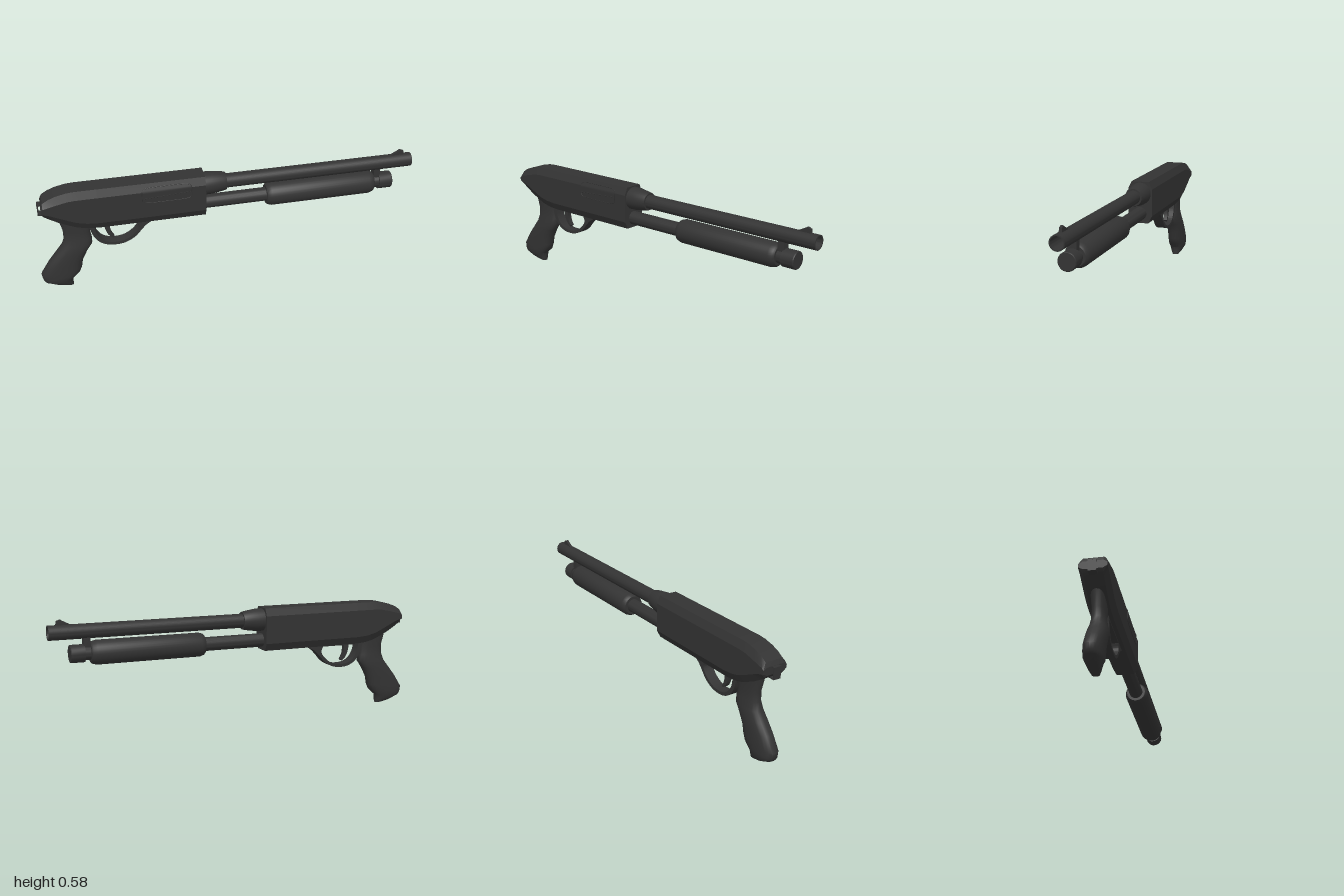
import * as THREE from 'three';
import { toCreasedNormals } from 'three/addons/utils/BufferGeometryUtils.js';

const V = (x, y, z) => new THREE.Vector3(x, y, z);

// Skin a row of equal-length rings (counterclockwise about the travel direction) and cap both ends.
function loft(rings, crease) {
  const n = rings[0].length, pos = [];
  const tri = (...p) => p.forEach((v) => pos.push(v.x, v.y, v.z));
  for (let i = 0; i < rings.length - 1; i++) {
    for (let j = 0; j < n; j++) {
      const k = (j + 1) % n, a = rings[i], b = rings[i + 1];
      tri(a[j], a[k], b[k]);
      tri(a[j], b[k], b[j]);
    }
  }
  const cap = (ring, flip) => {
    const c = ring.reduce((s, v) => s.add(v), V(0, 0, 0)).divideScalar(n);
    ring.forEach((v, j) => {
      const w = ring[(j + 1) % n];
      flip ? tri(c, w, v) : tri(c, v, w);
    });
  };
  cap(rings[0], true);
  cap(rings[rings.length - 1], false);
  const g = new THREE.BufferGeometry();
  g.setAttribute('position', new THREE.Float32BufferAttribute(pos, 3));
  return toCreasedNormals(g, crease);
}

// Turned part along x: profile of [x, radius] at height y.
function turned(profile, y) {
  const g = new THREE.LatheGeometry(profile.map(([x, r]) => new THREE.Vector2(r, x)), 32);
  g.rotateZ(-Math.PI / 2).translate(0, y, 0);
  return toCreasedNormals(g, 0.6);
}

// Side outline extruded symmetrically about z = 0.
function slab(shape, width) {
  const g = new THREE.ExtrudeGeometry(shape, { depth: width, bevelEnabled: false, curveSegments: 8 });
  return toCreasedNormals(g.translate(0, 0, -width / 2), 0.6);
}

const outline = (pts) => pts.map(([x, y]) => new THREE.Vector2(x, y));

export function createModel() {
  const group = new THREE.Group();
  const metal = new THREE.MeshStandardMaterial({ color: 0x333333 });
  metal.name = 'blackMetal';
  const add = (name, geometry) => {
    const m = new THREE.Mesh(geometry, metal);
    m.name = name;
    group.add(m);
    return m;
  };
  const box = (name, w, h, d, x, y) => add(name, new THREE.BoxGeometry(w, h, d).translate(x, y, 0));

  // Receiver: chamfered section, rounded off towards the back. [x, bottom, top]
  const receiver = [
    [-0.96, 0.475, 0.515], [-0.95, 0.46, 0.537], [-0.92, 0.44, 0.556], [-0.88, 0.416, 0.571],
    [-0.83, 0.392, 0.582], [-0.79, 0.375, 0.585], [-0.74, 0.363, 0.585], [-0.68, 0.358, 0.585], [-0.13, 0.358, 0.585],
  ].map(([x, b, t]) => {
    const c = Math.min(0.04, (t - b) * 0.3);
    const half = [[t, -0.048], [t, 0.048], [t - c, 0.067], [b + c, 0.067]];
    return [...half, [b, 0.046], [b, -0.046], [b + c, -0.067], [t - c, -0.067]].map(([y, z]) => V(x, y, z));
  });
  add('receiver', loft(receiver, 0.42));

  // Ejection port: thin plate wrapped over the upper chamfer, with a rim and a bolt seam
  const wrapZ = (y) => 0.067 - Math.max(0, y - 0.545) * 0.475;
  const port = new THREE.PlaneGeometry(0.25, 0.084, 1, 12);
  const p = port.attributes.position;
  for (let i = 0; i < p.count; i++) {
    const t = Math.max(0, Math.abs(p.getY(i)) - 0.022) / 0.02;
    const inset = 0.02 * (1 - Math.sqrt(Math.max(0, 1 - t * t)));
    const y = p.getY(i) + 0.524;
    p.setXYZ(i, p.getX(i) - Math.sign(p.getX(i)) * inset - 0.33, y, wrapZ(y) + 0.0015);
  }
  port.computeVertexNormals();
  add('ejectionPort', port);
  const rim = [];
  for (let i = 0; i < 40; i++) {
    const a = (i / 40) * Math.PI * 2, f = (v) => Math.sign(v) * Math.abs(v) ** 0.35;
    const y = 0.524 + 0.042 * f(Math.sin(a));
    rim.push(V(-0.33 + 0.127 * f(Math.cos(a)), y, wrapZ(y) + 0.001));
  }
  add('portRim', new THREE.TubeGeometry(new THREE.CatmullRomCurve3(rim, true), 80, 0.0022, 5, true));
  const seam = new THREE.LineCurve3(V(-0.45, 0.508, 0.068), V(-0.21, 0.522, 0.068));
  add('boltSeam', new THREE.TubeGeometry(seam, 1, 0.0018, 5));

  // Barrel with open bore, and the collar at its root
  add('barrel', turned([[-0.15, 0], [-0.15, 0.037], [1, 0.037], [1, 0.031], [0.7, 0.03], [0.7, 0]], 0.52));
  add('barrelCollar', turned([[-0.14, 0], [-0.14, 0.06], [-0.09, 0.059], [-0.03, 0.05], [-0.015, 0.046], [-0.015, 0]], 0.52));

  // Magazine tube, sliding fore-end and end cap
  add('magazineTube', turned([[-0.15, 0], [-0.15, 0.036], [0.84, 0.036], [0.84, 0]], 0.41));
  add('foreEnd', turned([[0.2, 0], [0.2, 0.05], [0.206, 0.056], [0.225, 0.062], [0.765, 0.062],
    [0.787, 0.056], [0.795, 0.048], [0.795, 0]], 0.41));
  add('magazineCap', turned([[0.825, 0], [0.825, 0.045], [0.893, 0.045], [0.897, 0.042], [0.897, 0]], 0.41));
  box('barrelBracket', 0.035, 0.07, 0.04, 0.812, 0.465);

  // Front sight ramp
  add('frontSight', slab(new THREE.Shape(outline([[0.875, 0.55], [0.96, 0.55], [0.957, 0.576],
    [0.938, 0.584], [0.925, 0.576]])), 0.014));

  // Pistol grip: [back x, back y, front x, front y, half width]
  const grip = [
    [-0.885, 0.42, -0.72, 0.38, 0.036], [-0.865, 0.34, -0.728, 0.32, 0.031], [-0.865, 0.29, -0.722, 0.285, 0.034],
    [-0.88, 0.25, -0.722, 0.25, 0.04], [-0.915, 0.205, -0.75, 0.21, 0.043], [-0.955, 0.155, -0.778, 0.155, 0.043],
    [-1, 0.085, -0.785, 0.113, 0.043], [-0.995, 0.055, -0.8, 0.08, 0.043], [-0.985, 0.04, -0.838, 0.047, 0.041],
    [-0.93, 0.015, -0.84, 0.017, 0.029], [-0.9, 0.008, -0.84, 0, 0.02],
  ].map(([bx, by, fx, fy, w]) => Array.from({ length: 20 }, (_, i) => {
    const a = (i / 20) * Math.PI * 2, f = (v) => Math.sign(v) * Math.abs(v) ** 0.75;
    const u = (f(Math.cos(a)) + 1) / 2;
    return V(bx + (fx - bx) * u, by + (fy - by) * u, w * f(Math.sin(a)));
  }));
  add('grip', loft(grip, 0.8));

  // Trigger guard loop with its opening
  const guard = new THREE.Shape();
  guard.moveTo(-0.735, 0.365);
  guard.splineThru(outline([[-0.715, 0.3], [-0.685, 0.258], [-0.645, 0.236], [-0.6, 0.23], [-0.55, 0.237],
    [-0.5, 0.264], [-0.46, 0.308], [-0.43, 0.336], [-0.38, 0.362]]));
  const opening = new THREE.Path();
  opening.moveTo(-0.705, 0.352);
  opening.splineThru(outline([[-0.697, 0.31], [-0.673, 0.272], [-0.64, 0.252], [-0.6, 0.246], [-0.555, 0.252],
    [-0.51, 0.278], [-0.478, 0.318], [-0.485, 0.352]]));
  guard.holes.push(opening);
  add('triggerGuard', slab(guard, 0.056));

  // Curved trigger
  const trigger = new THREE.Shape();
  trigger.moveTo(-0.655, 0.37);
  trigger.quadraticCurveTo(-0.655, 0.285, -0.612, 0.262);
  trigger.lineTo(-0.606, 0.27);
  trigger.quadraticCurveTo(-0.637, 0.31, -0.618, 0.37);
  add('trigger', slab(trigger, 0.024));

  // Sling loop at the back
  box('slingLoopBar', 0.006, 0.06, 0.04, -0.974, 0.484);
  for (const y of [0.457, 0.511]) box('slingLoopArm', 0.035, 0.006, 0.04, -0.96, y);

  return group;
}
